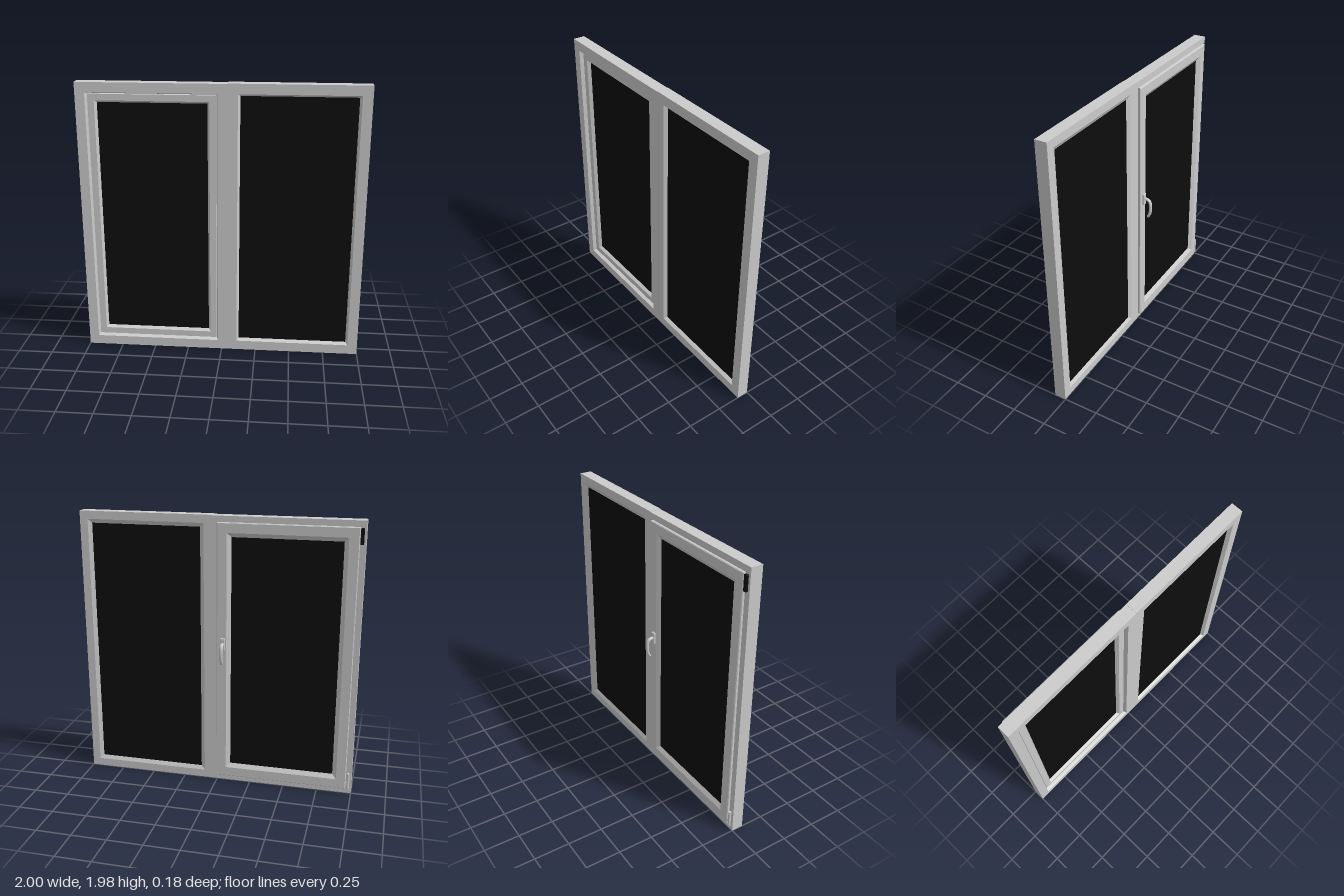
import * as THREE from 'three';
import { RoundedBoxGeometry } from 'three/addons/geometries/RoundedBoxGeometry.js';

const grey = new THREE.MeshStandardMaterial({ color: 0xcccccc });
const black = new THREE.MeshStandardMaterial({ color: 0x0d0d0d });

function add(parent, name, geometry, material = grey, x = 0, y = 0, z = 0) {
  const mesh = new THREE.Mesh(geometry, material);
  mesh.name = name;
  mesh.position.set(x, y, z);
  parent.add(mesh);
  return mesh;
}

// Sweeps a closed clockwise profile of [inset, z] points round a rectangle, with mitred corners.
function mitredFrame(x0, x1, y0, y1, profile) {
  const corner = ([u, z], k) => [
    [x0 + u, y0 + u, z], [x1 - u, y0 + u, z], [x1 - u, y1 - u, z], [x0 + u, y1 - u, z],
  ][k % 4];
  const positions = [];
  profile.forEach((a, i) => {
    const b = profile[(i + 1) % profile.length];
    for (let k = 0; k < 4; k++) {
      const [p, q, r, s] = [corner(a, k), corner(a, k + 1), corner(b, k + 1), corner(b, k)];
      positions.push(...p, ...q, ...r, ...p, ...r, ...s);
    }
  });
  const geometry = new THREE.BufferGeometry();
  geometry.setAttribute('position', new THREE.Float32BufferAttribute(positions, 3));
  geometry.computeVertexNormals();
  return geometry;
}

function pane(parent, name, x0, x1, y0, y1, z0, z1) {
  add(parent, name, new THREE.BoxGeometry(x1 - x0, y1 - y0, z1 - z0), black,
    (x0 + x1) / 2, (y0 + y1) / 2, (z0 + z1) / 2);
}

// Lever handle: back plate, neck and a grip that curves down and back towards the sash
function createHandle() {
  const handle = new THREE.Group();
  handle.name = 'handle';
  add(handle, 'handlePlate', new RoundedBoxGeometry(0.036, 0.09, 0.016, 3, 0.006), grey, 0, 1.075, -0.027);
  const path = new THREE.CatmullRomCurve3([
    [1.077, -0.03], [1.077, -0.05], [1.068, -0.068], [1.04, -0.078],
    [1.0, -0.079], [0.965, -0.073], [0.942, -0.062],
  ].map(([y, z]) => new THREE.Vector3(0, y, z)));
  const grip = new THREE.TubeGeometry(path, 32, 0.0105, 12);
  grip.scale(1.25, 1, 1);
  add(handle, 'handleGrip', grip);
  const tip = new THREE.SphereGeometry(0.0105, 12, 8);
  tip.scale(1.25, 1, 1);
  add(handle, 'handleTip', tip, grey, 0, 0.942, -0.062);
  handle.position.x = -0.045;
  return handle;
}

export function createModel() {
  const model = new THREE.Group();
  model.name = 'window';

  // Fixed outer frame, two halves meeting in the mullion
  add(model, 'openingFrame', mitredFrame(-1, 0.04, 0, 1.977,
    [[0, 0], [0, 0.085], [0.068, 0.085], [0.076, 0.06], [0.076, 0]]));
  add(model, 'fixedFrame', mitredFrame(0.04, 1, 0, 1.98,
    [[0, 0], [0, 0.085], [0.07, 0.085], [0.085, 0.06], [0.085, 0.015], [0.057, 0]]));
  pane(model, 'fixedGlass', 0.12, 0.92, 0.08, 1.9, 0.015, 0.06);

  // Opening sash with a flange that overlaps the frame at the back
  const sash = new THREE.Group();
  sash.name = 'sash';
  model.add(sash);
  add(sash, 'sashFrame', mitredFrame(-0.96, 0, 0.04, 1.935, [
    [0.005, -0.021], [0, -0.016], [0, -0.002], [0.04, -0.002], [0.04, 0.06],
    [0.085, 0.06], [0.1, 0.037], [0.1, 0], [0.07, -0.021],
  ]));
  pane(sash, 'sashGlass', -0.865, -0.095, 0.135, 1.84, 0, 0.037);
  sash.add(createHandle());

  // Hinges on the outer edge of the sash
  add(model, 'upperHinge', new RoundedBoxGeometry(0.024, 0.11, 0.02, 2, 0.005), black, -0.974, 1.875, -0.01);
  add(model, 'lowerHingeArm', new THREE.BoxGeometry(0.026, 0.03, 0.014), grey, -0.965, 0.075, -0.009);
  add(model, 'lowerHingePin', new THREE.CylinderGeometry(0.01, 0.01, 0.12, 16), grey, -0.976, 0.1, -0.011);
  return model;
}
